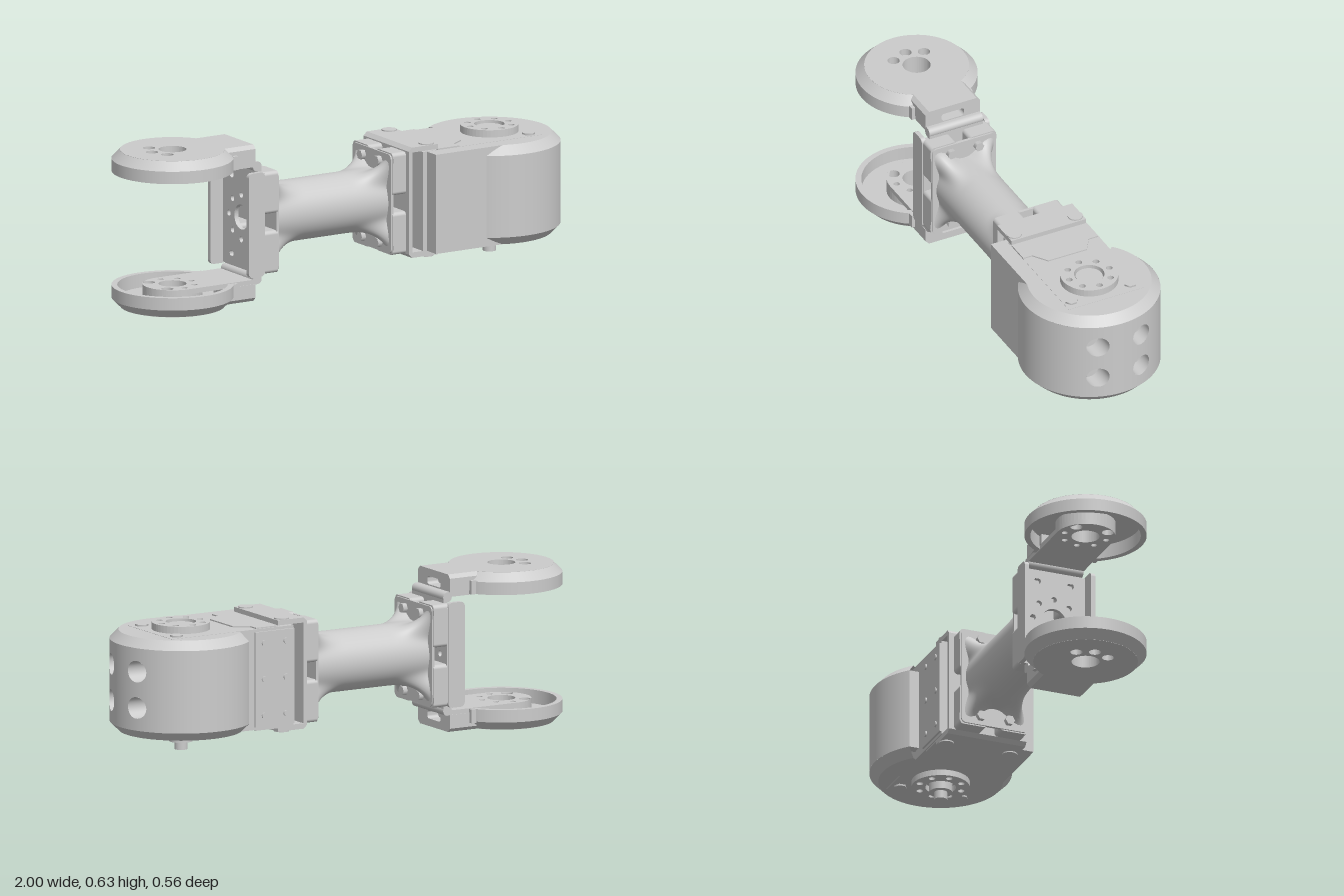
import * as THREE from 'three';
import { ParametricGeometry } from 'three/addons/geometries/ParametricGeometry.js';

const grey = new THREE.MeshStandardMaterial({ color: 0xcccccc });
const greyBoth = new THREE.MeshStandardMaterial({ color: 0xcccccc, side: THREE.DoubleSide });
const MID = 0.315, PI = Math.PI;

function add(parent, name, geo, x = 0, y = 0, z = 0, mat = grey) {
  const m = new THREE.Mesh(geo, mat);
  m.name = name;
  m.position.set(x, y, z);
  parent.add(m);
  return m;
}
// box from min/max limits
const box = (parent, name, x0, x1, y0, y1, z0, z1) =>
  add(parent, name, new THREE.BoxGeometry(x1 - x0, y1 - y0, z1 - z0), (x0 + x1) / 2, (y0 + y1) / 2, (z0 + z1) / 2);
const cyl = (r, h, n = 32) => new THREE.CylinderGeometry(r, r, h, n);
const extrude = (shape, depth) => new THREE.ExtrudeGeometry(shape, { depth, bevelEnabled: false, curveSegments: 24 });
const extrudeY = (shape, depth) => extrude(shape, depth).rotateX(-PI / 2);
const extrudeX = (shape, depth) => extrude(shape, depth).rotateY(PI / 2);
const poly = pts => new THREE.Shape(pts.map(p => new THREE.Vector2(p[0], p[1])));
const hole = (shape, x, y, r) => shape.holes.push(new THREE.Path().absarc(x, y, r, 0, 2 * PI, true));
const disc = r => new THREE.Shape().absarc(0, 0, r, 0, 2 * PI, false);

function roundRect(x0, y0, x1, y1, r, target = new THREE.Shape()) {
  target.absarc(x1 - r, y1 - r, r, 0, PI / 2, false);
  target.absarc(x0 + r, y1 - r, r, PI / 2, PI, false);
  target.absarc(x0 + r, y0 + r, r, PI, 1.5 * PI, false);
  target.absarc(x1 - r, y0 + r, r, 1.5 * PI, 2 * PI, false);
  target.closePath();
  return target;
}
// lathe with a hard edge at every profile point
function sharpLathe(parent, name, pts, x, start = 0, len = 2 * PI) {
  for (let i = 0; i + 1 < pts.length; i++) {
    const seg = [pts[i], pts[i + 1]].map(p => new THREE.Vector2(p[0], p[1]));
    add(parent, name, new THREE.LatheGeometry(seg, 64, start, len), x, 0, 0, greyBoth);
  }
}

// lower half of the fork: round cup, neck, hub and bracket arm
function forkSide() {
  const g = new THREE.Group(), cx = -0.76;
  const portHoles = s => {
    hole(s, 0, 0, 0.055);
    for (const a of [0.75, 1, 1.25]) hole(s, 0.095 * Math.cos(a * PI), 0.095 * Math.sin(a * PI), 0.024);
    return s;
  };
  sharpLathe(g, 'cupRim', [[0.205, 0], [0.24, 0.035], [0.24, 0.085], [0.217, 0.085], [0.217, 0.03], [0.2, 0.03]],
    cx, PI / 2 + 0.52, 2 * PI - 1.04);
  add(g, 'cupFloor', extrudeY(portHoles(disc(0.206)), 0.03), cx, 0, 0);
  add(g, 'cupHub', extrudeY(portHoles(disc(0.118)), 0.04), cx, 0.028, 0);

  const neck = poly([[-0.105, 0], [0.105, 0], [0.12, 0.015], [0.12, 0.07], [-0.12, 0.07], [-0.12, 0.015]]);
  neck.holes.push(roundRect(-0.05, 0.03, 0.05, 0.063, 0.012, new THREE.Path()));
  add(g, 'cupNeck', extrudeX(neck, 0.15), -0.6, 0, 0);
  box(g, 'neckWindowBack', -0.52, -0.5, 0.025, 0.068, -0.06, 0.06);
  for (const s of [-1, 1]) box(g, 'rimEnd', -0.562, -0.54, 0.03, 0.085, s * 0.125 - 0.01, s * 0.125 + 0.01);

  // bracket arm with round end and bolt circle
  const arm = new THREE.Shape().absarc(0, 0, 0.118, PI / 2, 1.5 * PI, false);
  arm.lineTo(0.32, -0.118);
  arm.lineTo(0.32, 0.118);
  arm.closePath();
  portHoles(arm);
  for (let i = -2; i <= 2; i++) hole(arm, 0.088 * Math.cos(i * PI / 4), 0.088 * Math.sin(i * PI / 4), 0.012);
  add(g, 'bracketArm', extrudeY(arm, 0.02), cx, 0.068, 0);
  const bend = new THREE.CylinderGeometry(0.02, 0.02, 0.236, 24, 1, false).rotateX(PI / 2);
  add(g, 'bracketBend', bend, -0.44, 0.088, 0);
  return g;
}

// left channel plate holding the fork arms
function forkBracket() {
  const g = new THREE.Group();
  const plate = roundRect(-0.145, -0.205, 0.145, 0.205, 0.02);
  hole(plate, 0, 0, 0.05);
  for (let i = 0; i < 8; i++) hole(plate, 0.09 * Math.cos(i * PI / 4), 0.09 * Math.sin(i * PI / 4), 0.012);
  for (const y of [-0.16, 0.16]) for (const z of [-0.07, 0.07]) hole(plate, z, y, 0.014);
  add(g, 'bracketPlate', extrudeX(plate, 0.018), -0.44, MID, 0);
  for (const s of [-1, 1]) {
    const flange = roundRect(-0.5, -0.21, -0.425, 0.21, 0.018);
    add(g, 'bracketFlange', extrude(flange, 0.018), 0, MID, s * 0.141 - 0.009);
    box(g, 'bracketWeb', -0.44, -0.422, MID + s * 0.2 - 0.03, MID + s * 0.2 + 0.03, -0.118, 0.118);
  }
  return g;
}

// round link with four ribs flaring into the end flanges
function link() {
  const g = new THREE.Group(), x0 = -0.36, x1 = 0.175;
  const corner = Math.atan2(0.2, 0.138), reach = Math.hypot(0.2, 0.138);
  add(g, 'linkTube', new ParametricGeometry((u, v, p) => {
    const th = -u * 2 * PI, x = x0 + (x1 - x0) * v;
    const e = Math.max(0, 1 - Math.min(x - x0, x1 - x) / 0.16);
    const flare = 1 - Math.sqrt(1 - e * e);
    const fold = Math.atan2(Math.abs(Math.sin(th)), Math.abs(Math.cos(th)));
    const rib = Math.exp(-(((fold - corner) / 0.26) ** 2));
    const r = 0.122 + flare * rib * (reach - 0.122);
    p.set(x, MID + r * Math.sin(th), r * Math.cos(th));
  }, 120, 64));
  for (const [xa, xb, inner] of [[-0.422, -0.36, 1], [0.173, 0.235, -1]]) {
    const web = inner > 0 ? xb - 0.006 : xa - 0.006;
    add(g, 'flangeWeb', extrudeX(roundRect(-0.14, -0.2, 0.14, 0.2, 0.02), 0.012), web, MID, 0);
    for (const sy of [-1, 1]) for (const sz of [-1, 1]) {
      const y = MID + sy * 0.12, z = sz * 0.086;
      const pad = roundRect(-0.058, -0.085, 0.058, 0.085, 0.015);
      add(g, 'flangePad', extrudeX(pad, xb - xa), xa, y, z);
      // bolt behind each pad
      add(g, 'flangeBolt', cyl(0.02, 0.03, 6).rotateZ(PI / 2), inner > 0 ? xb + 0.01 : xa - 0.01, MID + sy * 0.165, sz * 0.06);
    }
  }
  return g;
}

// U bracket clasping the motor
function motorBracket() {
  const g = new THREE.Group();
  const u = poly([[0.25, 0.095], [0.37, 0.095], [0.37, 0.117], [0.252, 0.117], [0.252, 0.52], [0.37, 0.52],
    [0.37, 0.54], [0.25, 0.54], [0.235, 0.525], [0.235, 0.11]]);
  add(g, 'motorBracket', extrude(u, 0.33), 0, 0, -0.165);
  for (const y of [0.094, 0.541]) for (const z of [-0.135, 0.135])
    add(g, 'bracketScrew', cyl(0.03, 0.008, 24), 0.335, y, z);
  return g;
}

// motor body with output horn, idler shaft and screws
function motor() {
  const g = new THREE.Group(), cx = 0.715;
  box(g, 'motorBody', 0.3, 0.86, 0.114, 0.516, -0.17, 0.165);
  const panel = poly([[0.37, -0.165], [0.47, -0.165], [0.47, -0.125], [0.53, -0.085], [0.53, 0.085], [0.47, 0.125],
    [0.47, 0.165], [0.37, 0.165]]);
  add(g, 'motorTopPanel', extrudeY(panel, 0.006), 0, 0.515, 0);
  add(g, 'motorBottomPanel', extrudeY(panel, 0.006), 0, 0.109, 0);
  box(g, 'motorSidePlate', 0.3, 0.48, 0.125, 0.505, -0.178, -0.168);
  for (const y of [0.17, 0.315, 0.46]) for (const x of [0.34, 0.44])
    add(g, 'motorSideScrew', cyl(0.012, 0.008, 16).rotateX(PI / 2), x, y, -0.18);
  for (const y of [0.112, 0.518]) for (const z of [-0.13, 0.13])
    add(g, 'motorScrew', cyl(0.026, 0.01, 6), 0.815, y, z);

  const horn = disc(0.115);
  hole(horn, 0, 0, 0.06);
  for (let i = 0; i < 8; i++) hole(horn, 0.088 * Math.cos(i * PI / 4), 0.088 * Math.sin(i * PI / 4), 0.013);
  add(g, 'outputHorn', extrudeY(horn, 0.03), cx, 0.515, 0);
  add(g, 'hornCentre', cyl(0.053, 0.02), cx, 0.525, 0);
  add(g, 'idlerHorn', extrudeY(horn, 0.026), cx, 0.09, 0);
  add(g, 'idlerCollar', cyl(0.046, 0.05), cx, 0.092, 0);
  add(g, 'idlerShaft', cyl(0.026, 0.07), cx, 0.07, 0);
  return g;
}

// drum-shaped cover round the motor, with four counterbored screw holes
function cover() {
  const g = new THREE.Group(), cx = 0.715, R = 0.28, r = 0.043, floorX = 0.9, zEdge = 0.19;
  const start = -0.9, end = PI + 0.722, a = Math.acos(zEdge / R);
  sharpLathe(g, 'coverBottom', [[0, 0.115], [0.245, 0.115], [R, 0.15]], cx, start, end - start);
  sharpLathe(g, 'coverTop', [[R, 0.48], [0.245, 0.515], [0, 0.515]], cx, start, end - start);
  sharpLathe(g, 'coverWall', [[R, 0.15], [R, 0.48]], cx, start, a - start);
  sharpLathe(g, 'coverWall', [[R, 0.15], [R, 0.48]], cx, PI - a, end - PI + a);
  box(g, 'coverSide', 0.32, cx, 0.115, 0.515, 0.1, 0.23);
  box(g, 'coverEdge', 0.53, 0.57, 0.15, 0.48, -0.209, -0.16);

  const onWall = z => cx + Math.sqrt(R * R - z * z);
  for (const [hy, y0, y1] of [[0.241, 0.15, MID], [0.386, MID, 0.48]]) for (const [z0, z1] of [[-zEdge, 0], [0, zEdge]]) {
    const hz = (z0 + z1) / 2;
    const rim = [[z1, y0], [z1, y1], [z0, y1], [z0, y0]];
    // curved patch between the hole and its rectangle of wall
    add(g, 'coverFront', new ParametricGeometry((u, v, p) => {
      const s = Math.min(u * 4, 3.999999), i = Math.floor(s), f = s - i;
      const A = rim[i], B = rim[(i + 1) % 4];
      const dz = A[0] + (B[0] - A[0]) * f - hz, dy = A[1] + (B[1] - A[1]) * f - hy;
      const k = r / Math.hypot(dz, dy) * (1 - v) + v;
      const z = hz + dz * k;
      p.set(onWall(z), hy + dy * k, z);
    }, 48, 6));
    add(g, 'screwRecess', new ParametricGeometry((u, v, p) => {
      const z = hz + r * Math.cos(u * 2 * PI);
      p.set(floorX + (onWall(z) - floorX) * v, hy + r * Math.sin(u * 2 * PI), z);
    }, 40, 1), 0, 0, 0, greyBoth);
    add(g, 'recessFloor', new THREE.RingGeometry(0.016, r, 32).rotateY(PI / 2), floorX, hy, hz);
    add(g, 'screwHole', new THREE.CylinderGeometry(0.016, 0.016, 0.04, 20, 1, true).rotateZ(PI / 2), floorX - 0.02, hy, hz, greyBoth);
  }
  return g;
}

export function createModel() {
  const model = new THREE.Group();
  const put = (name, part) => { part.name = name; model.add(part); return part; };
  put('lowerFork', forkSide());
  const upper = put('upperFork', forkSide());
  upper.rotation.x = PI;
  upper.position.y = 2 * MID;
  put('forkBracket', forkBracket());
  put('link', link());
  put('motorBracket', motorBracket());
  put('motor', motor());
  put('motorCover', cover());
  return model;
}
